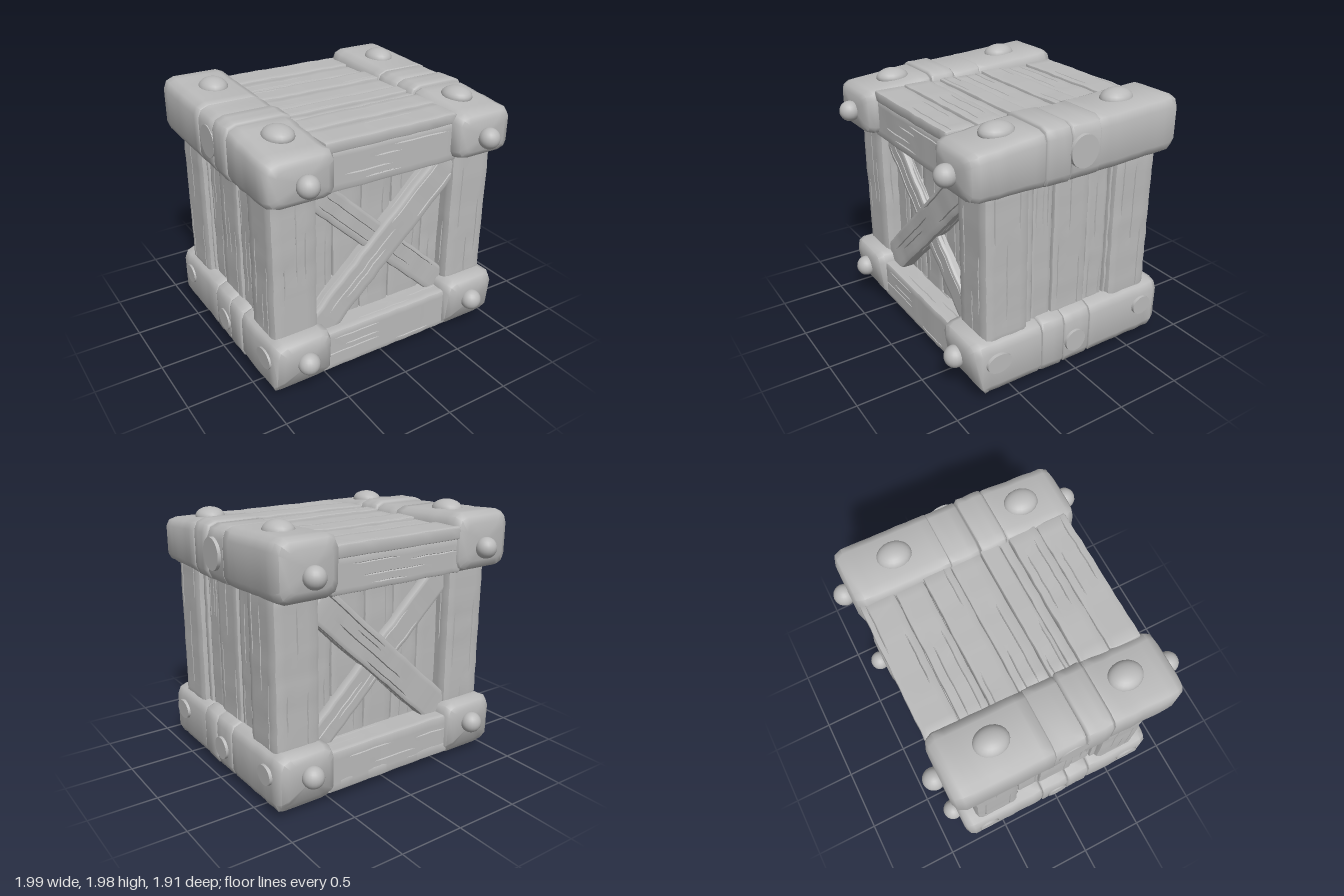
import * as THREE from 'three';
import { toCreasedNormals } from 'three/addons/utils/BufferGeometryUtils.js';

const wood = new THREE.MeshStandardMaterial({ color: 0xbababa });
wood.name = 'plain grey';

let seed = 7;
const rand = (a = 0, b = 1) => {
  seed = (seed * 16807) % 2147483647;
  return a + (b - a) * (seed / 2147483647);
};

// Worn timber along z: a rounded rectangle swept over stations, with grain
// cracks that open and close along the length and bevelled ends.
function timber(w, h, len, { r = 0.02, e0 = 0.015, e1 = 0.015, cracks = 2, wobble = 0.003 } = {}) {
  const sides = [[1, 0, h, w], [0, 1, w, h], [-1, 0, h, w], [0, -1, w, h]];
  const ring = [];
  sides.forEach(([nx, ny, span, depth]) => {
    const tx = -ny, ty = nx;
    const flat = span / 2 - r;
    const add = (t, crack) => ring.push({
      x: nx * depth / 2 + tx * t, y: ny * depth / 2 + ty * t, nx, ny, crack });
    add(-flat);
    const n = span > 0.1 ? cracks : 0;
    for (let i = 0; i < n; i++) {
      const t = -flat + 2 * flat * (i + rand(0.25, 0.75)) / n;
      const start = rand(0, 0.7);
      add(t - 0.005);
      add(t, { start, end: start + rand(0.15, 0.4), depth: rand(0.008, 0.014) });
      add(t + 0.005);
    }
    add(flat);
    // middle of the rounded corner
    const q = r * 0.293;
    ring.push({ x: (nx + tx) * (w / 2 - q), y: (ny + ty) * (h / 2 - q), nx, ny });
  });

  const zs = [-len / 2, -len / 2 + e0 * 0.3, -len / 2 + e0];
  const steps = Math.max(1, Math.round(len / 0.08));
  for (let i = 1; i < steps; i++) zs.push(-len / 2 + e0 + (len - e0 - e1) * i / steps);
  zs.push(len / 2 - e1, len / 2 - e1 * 0.3, len / 2);
  const last = zs.length - 1, n = ring.length;
  const inset = k => k === 0 ? e0 : k === 1 ? e0 * 0.3 : k === last ? e1 : k === last - 1 ? e1 * 0.3 : 0;

  const pos = [], idx = [];
  zs.forEach((z, k) => {
    const sx = 1 - 2 * inset(k) / w, sy = 1 - 2 * inset(k) / h;
    const dx = rand(-wobble, wobble), dy = rand(-wobble, wobble), u = k / last;
    ring.forEach(p => {
      const d = p.crack && u > p.crack.start && u < p.crack.end ? p.crack.depth : 0;
      pos.push((p.x - p.nx * d) * sx + dx, (p.y - p.ny * d) * sy + dy, z);
    });
  });
  for (let k = 0; k < last; k++) {
    for (let i = 0; i < n; i++) {
      const a = k * n + i, b = k * n + (i + 1) % n;
      idx.push(a, b, b + n, a, b + n, a + n);
    }
  }
  const c0 = pos.length / 3, base = last * n;
  pos.push(0, 0, -len / 2, 0, 0, len / 2);
  for (let i = 0; i < n; i++) {
    const j = (i + 1) % n;
    idx.push(c0, j, i, c0 + 1, base + i, base + j);
  }
  const g = new THREE.BufferGeometry();
  g.setAttribute('position', new THREE.Float32BufferAttribute(pos, 3));
  g.setIndex(idx);
  return g;
}

// Timber filling a box given by its x, y and z ranges, grain along one axis
function beam(name, X, Y, Z, axis, opts) {
  const [w, h, d] = [X, Y, Z].map(([a, b]) => b - a);
  let g;
  if (axis === 'x') g = timber(d, h, w, opts).rotateY(Math.PI / 2);
  else if (axis === 'y') g = timber(w, d, h, opts).rotateX(-Math.PI / 2);
  else g = timber(w, h, d, opts);
  g.translate((X[0] + X[1]) / 2, (Y[0] + Y[1]) / 2, (Z[0] + Z[1]) / 2);
  if (opts.rule) opts.rule(g.attributes.position);
  const m = new THREE.Mesh(toCreasedNormals(g, opts.crease ?? 0.6), wood);
  m.name = name;
  return m;
}

// Tilts the upper and lower faces of a top rail block along z
const tilt = (top, bottom) => p => {
  for (let i = 0; i < p.count; i++) {
    const t = (p.getY(i) - 1.485) / 0.41;
    p.setY(i, p.getY(i) + p.getZ(i) * (top * t + bottom * (1 - t)));
  }
};

// Cuts the lower end corners of a bottom rail back at a slant
function undercut(p) {
  for (let i = 0; i < p.count; i++) {
    const limit = 0.73 + (p.getY(i) - 0.05) * 0.7;
    p.setZ(i, THREE.MathUtils.clamp(p.getZ(i), -limit, limit));
  }
}

function ball(name, x, y, z, rx, ry, rz) {
  const m = new THREE.Mesh(new THREE.SphereGeometry(1, 20, 14), wood);
  m.name = name;
  m.scale.set(rx, ry, rz);
  m.position.set(x, y, z);
  return m;
}

export function createModel() {
  const crate = new THREE.Group();
  crate.name = 'crate';
  const add = (...m) => crate.add(...m);

  // Closed core behind the gaps between planks
  const core = new THREE.Mesh(new THREE.BoxGeometry(1.66, 1.6, 1.1), wood);
  core.name = 'core';
  core.position.y = 0.94;
  add(core);

  // Lid and floor planks
  const seams = [-0.83, -0.575, -0.36, -0.15, 0.08, 0.225, 0.3, 0.52, 0.76];
  for (let i = 0; i < seams.length - 1; i++) {
    const z = [seams[i] + 0.003, seams[i + 1] - 0.003];
    const drop = i % 2 ? 0.012 : 0;
    add(beam('lidPlank', [-0.53, 0.53], [1.76, 1.85 - drop], z, 'x', { r: 0.012 }));
    add(beam('floorPlank', [-0.56, 0.56], [0.085 + drop, 0.17], [Math.max(z[0], -0.77), z[1]], 'x', { r: 0.012 }));
  }

  for (const s of [1, -1]) {
    const at = (a, b) => s > 0 ? [a, b] : [-b, -a];

    // Front and back: horizontal rails, wall planks and cross braces
    const [railBase, railFace, wallFace] = s > 0 ? [1.48, 0.75, 0.595] : [1.515, 0.81, 0.575];
    add(beam('upperCrossRail', [-0.56, 0.56], [railBase, 1.77], at(0.5, railFace), 'x', { cracks: 4 }));
    add(beam('lowerCrossRail', [-0.56, 0.56], [0.08, 0.395], at(0.5, 0.77), 'x', { cracks: 4 }));
    const wall = [-0.62, -0.38, -0.145, 0.11, 0.4, 0.62];
    for (let i = 0; i < wall.length - 1; i++) {
      add(beam('wallPlank', [wall[i] + 0.004, wall[i + 1] - 0.004], [0.3, 1.6], at(0.5, wallFace), 'y', { r: 0.012 }));
    }
    for (const [name, angle, y, half, proud] of [
      ['overBrace', 0.755, 0.92, 0.125, 0.1], ['underBrace', -0.76, 0.94, 0.105, 0.06]]) {
      const m = beam(name, [-0.78, 0.78], [-half, half], at(0.54, wallFace + proud), 'x', { cracks: 4 });
      m.rotation.z = angle;
      m.position.y = y;
      add(m);
    }

    // Corner posts
    for (const z of [[0.37, 0.72], [-0.7, -0.34]]) {
      add(beam('cornerPost', at(0.565, 0.92), [0.4, 1.56], z, 'y', { r: 0.045, cracks: 3 }));
    }

    // Side wall planks
    const side = [-0.36, -0.32, -0.14, 0.155, 0.32, 0.38];
    for (let i = 0; i < side.length - 1; i++) {
      add(beam('sidePlank', at(0.8, 0.88 - (i % 2) * 0.012), [0.4, 1.56],
        [side[i] + 0.004, side[i + 1] - 0.004], 'y', { r: 0.012, cracks: 3 }));
    }

    // Heavy rails in jointed blocks: start, end, bevels, height or girth
    const outer = s > 0 ? 0.968 : 0.995;
    const chunk = { r: 0.08, cracks: 0, crease: 0.85 };
    const topBlocks = [[-0.85, -0.138, 0.075, 0.008, 0, 1.892, -0.05, -0.035],
      [-0.14, 0.09, 0.008, 0.018, 0, 1.892, -0.05, -0.035],
      [0.088, 0.292, 0.02, 0.02, 0.005, 1.902, 0, 0],
      [0.29, 0.845, 0.018, 0.07, 0, 1.915, -0.1, 0.02]];
    for (const [z0, z1, e0, e1, g, top, kTop, kBottom] of topBlocks) {
      add(beam('topRail', at(0.495 - g, outer + g), [1.485, top], [z0, z1], 'z',
        { ...chunk, e0, e1, rule: tilt(kTop, kBottom) }));
    }
    const lowBlocks = [[-0.82, -0.138, 0.065, 0.018, 0], [-0.14, 0.092, 0.018, 0.018, 0.003],
      [0.09, 0.287, 0.02, 0.02, 0.004], [0.285, 0.84, 0.018, 0.065, 0]];
    for (const [z0, z1, e0, e1, g] of lowBlocks) {
      add(beam('bottomRail', at(0.515 - g, 0.968 + g), [0.05 - g, 0.475 + g], [z0, z1], 'z',
        { ...chunk, e0, e1, rule: undercut }));
    }

    // Flat studs on the outer side: y, z, height and depth radii
    for (const [y, z, ry, rz] of [[1.7, 0, 0.12, 0.115], [0.24, 0, 0.088, 0.088], [0.31, 0.65, 0.075, 0.1], [0.31, -0.63, 0.075, 0.085]]) {
      const face = y > 1 ? outer : 0.968;
      const tip = Math.min(face + (s > 0 ? 0.022 : 0.014), 1);
      const stud = new THREE.Mesh(new THREE.CylinderGeometry(0.96, 1, 0.06, 28), wood);
      stud.name = 'sideStud';
      stud.rotation.z = -s * Math.PI / 2;
      stud.scale.set(ry, 1, rz);
      stud.position.set(s * (tip - 0.03), y, z);
      add(stud);
    }

    // Round bolts on the rail ends, domed bolts above and below
    const x = s * 0.73;
    add(ball('endBolt', x, 1.65, 0.88, 0.077, 0.077, 0.077));
    add(ball('endBolt', x, 1.685, -0.88, 0.077, 0.077, 0.077));
    add(ball('endBolt', x, 0.295, 0.855, 0.08, 0.08, 0.077));
    add(ball('endBolt', x, 0.31, -0.845, 0.08, 0.08, 0.077));
    add(ball('topBolt', x, 1.86, 0.51, 0.105, 0.068, 0.125));
    add(ball('topBolt', x, 1.905, -0.465, 0.105, 0.075, 0.125));
    add(ball('bottomBolt', x, 0.055, 0.5, 0.108, 0.055, 0.125));
    add(ball('bottomBolt', x, 0.055, -0.47, 0.108, 0.05, 0.125));
  }
  return crate;
}
